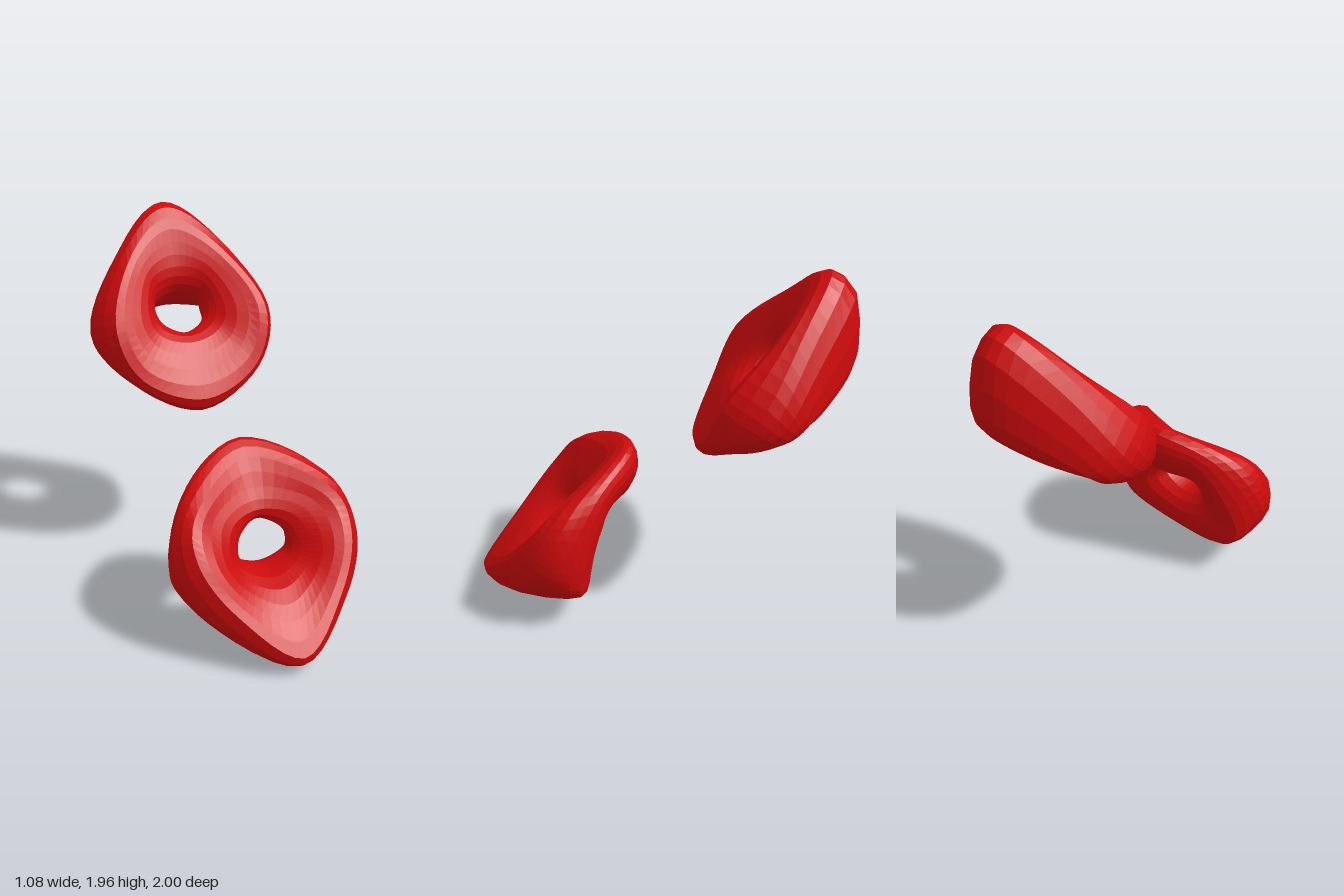
import * as THREE from 'three';

const RING_STEPS = 48;    // facets around each ring
const SECTION_STEPS = 20; // facets around each cross-section

// Cross-sections run: front rim, face, hole lip, hole wall, back, outer rim.
// Middle sections (x = 0) list [y, z]; the others list [x, y, z] for the left half.
const lowerSections = {
  bottom: [[.12, 1], [.25, .87], [.35, .72], [.375, .55], [.355, .43],
    [.27, .36], [.15, .38], [.03, .52], [0, .8], [.04, .95]],
  lowDiagonal: [[.28, .32, .83], [.21, .36, .77], [.15, .39, .66], [.115, .41, .54], [.13, .4, .43],
    [.21, .33, .35], [.3, .24, .34], [.365, .19, .38], [.375, .18, .54], [.355, .22, .74]],
  side: [[.42, .55, .65], [.32, .53, .65], [.22, .49, .59], [.15, .47, .51], [.15, .47, .42],
    [.21, .45, .35], [.33, .41, .32], [.45, .38, .355], [.505, .45, .45], [.505, .49, .55]],
  highDiagonal: [[.36, .75, .49], [.27, .69, .49], [.17, .62, .49], [.115, .55, .46], [.12, .54, .38],
    [.17, .58, .3], [.225, .67, .235], [.28, .75, .23], [.34, .79, .285], [.39, .78, .385]],
  top: [[.88, .27], [.75, .36], [.65, .42], [.59, .4], [.57, .33],
    [.59, .25], [.69, .15], [.82, .105], [.92, .13], [.94, .18]],
};

const upperSections = {
  bottom: [[1.03, -.18], [1.17, -.27], [1.29, -.37], [1.315, -.45], [1.29, -.51],
    [1.22, -.53], [1.12, -.5], [1.03, -.43], [.955, -.33], [.945, -.23]],
  lowDiagonal: [[.33, 1.16, -.255], [.25, 1.25, -.3], [.16, 1.33, -.4], [.11, 1.35, -.48], [.11, 1.335, -.54],
    [.18, 1.28, -.56], [.28, 1.2, -.53], [.35, 1.13, -.47], [.37, 1.12, -.4], [.365, 1.12, -.31]],
  side: [[.43, 1.45, -.38], [.33, 1.46, -.4], [.22, 1.44, -.45], [.155, 1.43, -.53], [.135, 1.37, -.62],
    [.22, 1.34, -.65], [.34, 1.28, -.67], [.43, 1.25, -.69], [.5, 1.31, -.63], [.51, 1.39, -.53]],
  highDiagonal: [[.25, 1.74, -.63], [.21, 1.67, -.59], [.155, 1.6, -.585], [.13, 1.51, -.595], [.12, 1.42, -.66],
    [.19, 1.35, -.75], [.27, 1.32, -.82], [.33, 1.39, -.83], [.33, 1.59, -.8], [.285, 1.755, -.72]],
  top: [[1.89, -.74], [1.77, -.68], [1.64, -.635], [1.54, -.635], [1.44, -.7],
    [1.36, -.82], [1.4, -.94], [1.55, -1], [1.85, -.965], [1.955, -.84]],
};

const closedCurve = (points) => new THREE.CatmullRomCurve3(points, true, 'catmullrom', 0.5);

// Sweeps the sections around a closed ring, mirrored left to right
function ringGeometry(sections, offsetX) {
  const { bottom, lowDiagonal, side, highDiagonal, top } = sections;
  const middle = (s) => s.map(([y, z]) => [0, y, z]);
  const mirror = (s) => s.map(([x, y, z]) => [-x, y, z]);
  const loop = [middle(bottom), lowDiagonal, side, highDiagonal, middle(top),
    mirror(highDiagonal), mirror(side), mirror(lowDiagonal)];

  // One smooth closed curve through each matching point of the sections
  const curves = bottom.map((_, j) => closedCurve(
    loop.map((s) => new THREE.Vector3(s[j][0] + offsetX, s[j][1], s[j][2]))));

  const positions = [];
  const indices = [];
  for (let i = 0; i < RING_STEPS; i++) {
    const section = closedCurve(curves.map((curve) => curve.getPoint(i / RING_STEPS)));
    const next = (i + 1) % RING_STEPS;
    for (let j = 0; j < SECTION_STEPS; j++) {
      positions.push(...section.getPoint(j / SECTION_STEPS).toArray());
      const k = (j + 1) % SECTION_STEPS;
      const a = i * SECTION_STEPS + j, b = next * SECTION_STEPS + j;
      const c = next * SECTION_STEPS + k, d = i * SECTION_STEPS + k;
      indices.push(a, b, c, a, c, d);
    }
  }
  const indexed = new THREE.BufferGeometry();
  indexed.setAttribute('position', new THREE.Float32BufferAttribute(positions, 3));
  indexed.setIndex(indices);
  const geometry = indexed.toNonIndexed();
  geometry.computeVertexNormals();
  return geometry;
}

export function createModel() {
  const group = new THREE.Group();
  group.name = 'ringPair';
  const red = new THREE.MeshStandardMaterial({ color: 0xcc0a0c, flatShading: true });

  const addRing = (name, sections, offsetX) => {
    const mesh = new THREE.Mesh(ringGeometry(sections, offsetX), red);
    mesh.name = name;
    group.add(mesh);
  };
  addRing('lowerFrontRing', lowerSections, 0.02);
  addRing('upperBackRing', upperSections, -0.03);
  return group;
}
